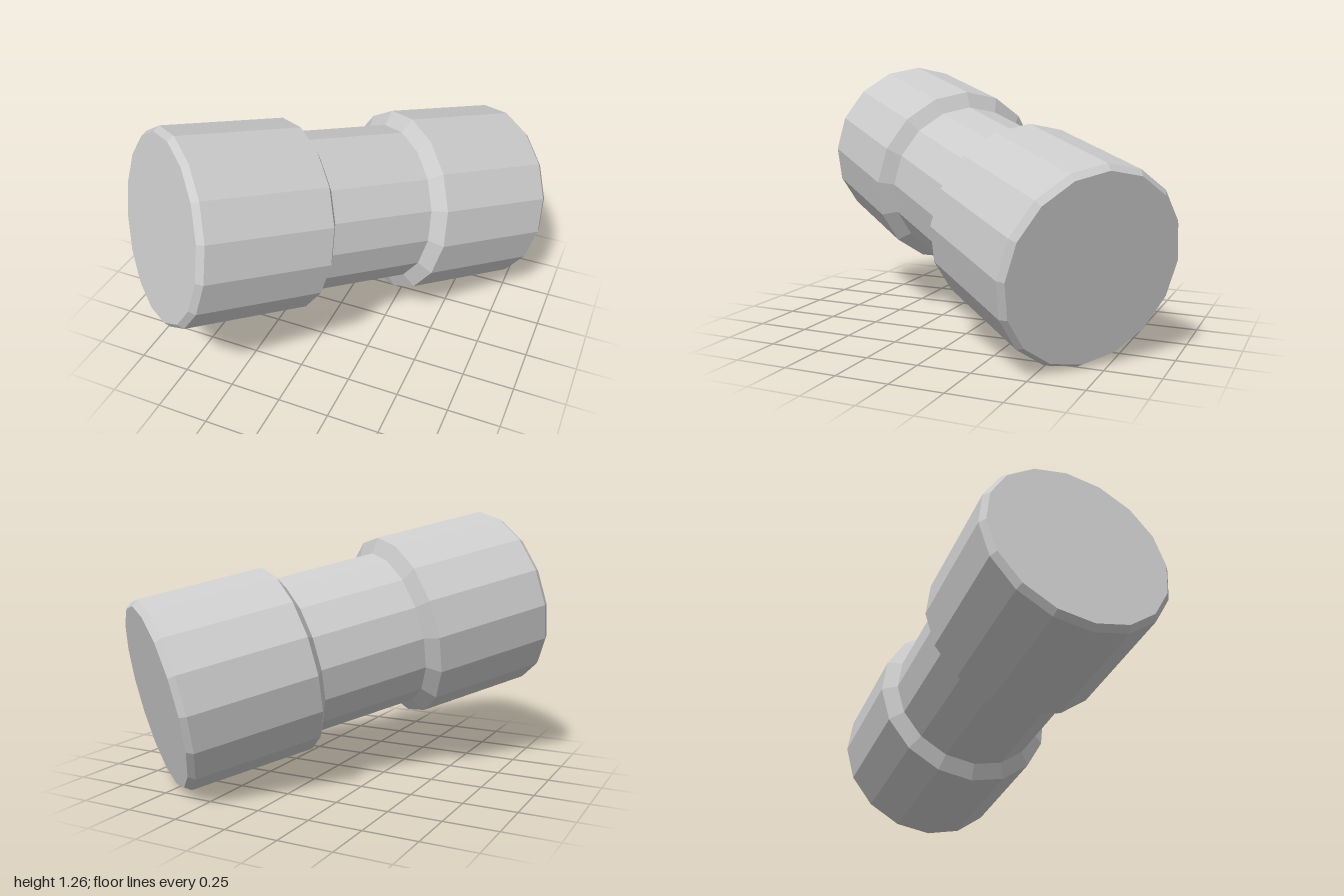
import * as THREE from 'three';

const SIDES = 16;

export function createModel() {
  const model = new THREE.Group();
  model.name = 'dumbbell';
  const material = new THREE.MeshStandardMaterial({ color: 0xcccccc, flatShading: true });

  // Weight: chamfered barrel with a closed outer end
  const profile = [[0.385, 0.265], [0.453, 0.31], [0.453, 0.912], [0.43, 0.94], [0, 0.94]]
    .map(([r, y]) => new THREE.Vector2(r, y));
  const weightGeometry = new THREE.LatheGeometry(profile, SIDES);

  const body = new THREE.Group();
  body.name = 'body';
  for (const [name, turn] of [['backWeight', 0], ['frontWeight', Math.PI]]) {
    const weight = new THREE.Mesh(weightGeometry, material);
    weight.name = name;
    weight.rotation.x = turn;
    body.add(weight);
  }

  // Narrower grip between the weights
  const grip = new THREE.Mesh(
    new THREE.CylinderGeometry(0.385, 0.385, 0.53, SIDES, 1, true), material);
  grip.name = 'grip';
  body.add(grip);

  // Tilt the long axis, keeping a row of corners uppermost
  const axis = new THREE.Vector3(0.6, -0.205, -0.775).normalize();
  const side = new THREE.Vector3().crossVectors(axis, new THREE.Vector3(0, 1, 0)).normalize();
  const up = new THREE.Vector3().crossVectors(side, axis);
  body.quaternion.setFromRotationMatrix(new THREE.Matrix4().makeBasis(side, axis, up));
  body.position.y = 0.63;
  model.add(body);
  return model;
}
